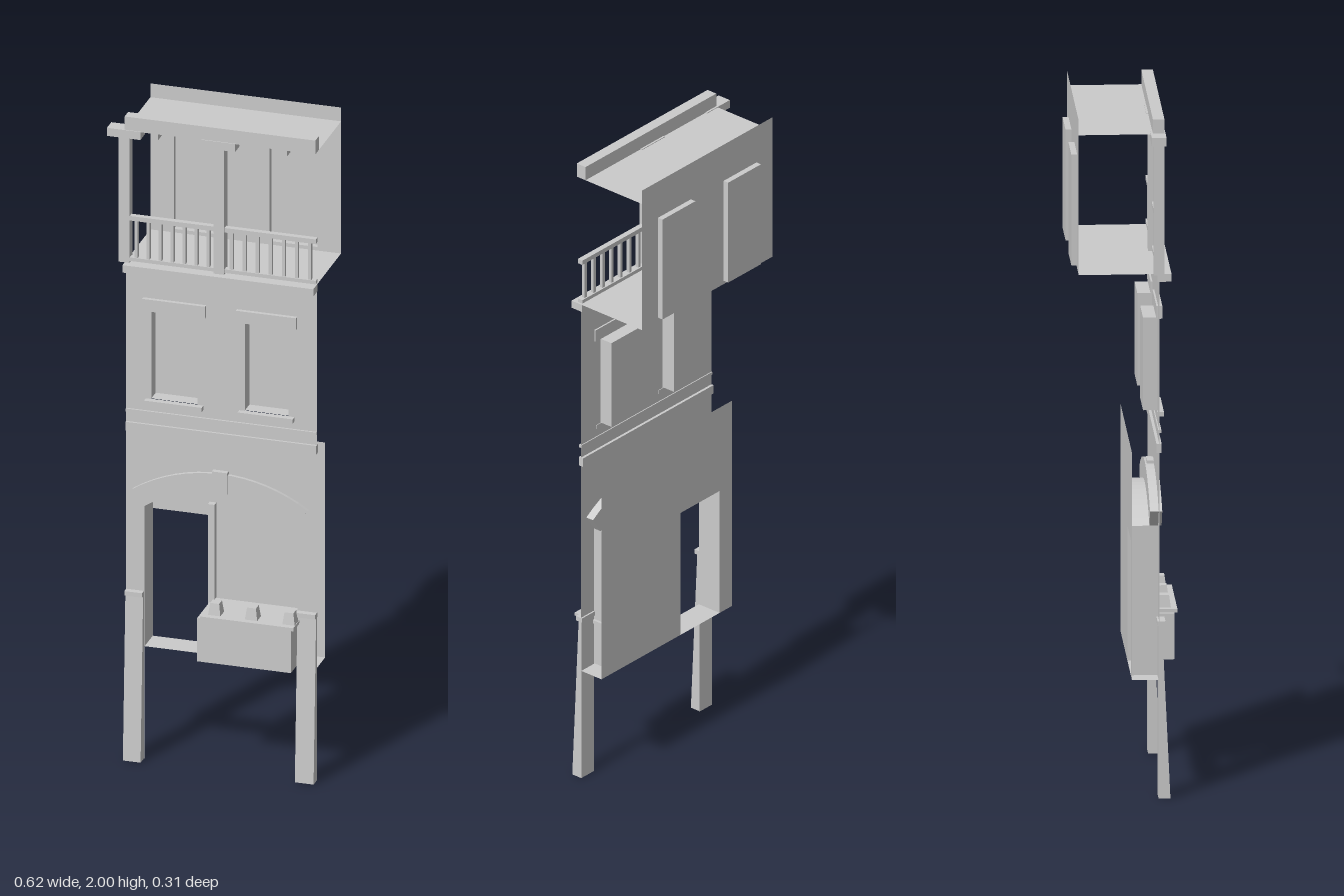
import * as THREE from 'three';

const mat = new THREE.MeshStandardMaterial({ color: 0xcccccc, flatShading: true, side: THREE.DoubleSide });
const X0 = -0.26, X1 = 0.31;          // wall ends
const FRONT = 0.09, SHOP = 0.012, BACK = -0.14; // wall planes in z

export function createModel() {
  const model = new THREE.Group();

  const add = (name, geometry) => {
    const mesh = new THREE.Mesh(geometry, mat);
    mesh.name = name;
    model.add(mesh);
    return mesh;
  };
  const boxGeo = (x0, x1, y0, y1, z0, z1) =>
    new THREE.BoxGeometry(x1 - x0, y1 - y0, z1 - z0)
      .translate((x0 + x1) / 2, (y0 + y1) / 2, (z0 + z1) / 2);
  const box = (name, ...b) => add(name, boxGeo(...b));
  // Box without its front face, for window niches
  const niche = (name, ...b) => {
    const g = boxGeo(...b);
    const idx = Array.from(g.index.array);
    idx.splice(24, 6);
    g.setIndex(idx);
    g.clearGroups();
    return add(name, g);
  };
  const poly = pts => pts.map(([x, y]) => new THREE.Vector2(x, y));
  const rect = (x0, x1, y0, y1) => poly([[x0, y0], [x1, y0], [x1, y1], [x0, y1]]);
  const wall = (name, outline, holes, z) => {
    const s = new THREE.Shape(outline);
    holes.forEach(h => s.holes.push(new THREE.Path(h)));
    return add(name, new THREE.ShapeGeometry(s).translate(0, 0, z));
  };
  const floor = (name, y, z0, z1) =>
    add(name, new THREE.PlaneGeometry(X1 - X0, z1 - z0).rotateX(-Math.PI / 2)
      .translate((X0 + X1) / 2, y, (z0 + z1) / 2));

  // Segmental arch over the shop opening
  const L = -0.205, R = 0.252, cx = (L + R) / 2, half = (R - L) / 2, spring = 0.79, rise = 0.07;
  const rad = (half * half + rise * rise) / (2 * rise), cy = spring + rise - rad;
  const sweep = Math.asin(half / rad), N = 16;
  const arc = r => Array.from({ length: N + 1 }, (_, i) => {
    const a = sweep * (2 * i / N - 1);
    return [cx + r * Math.sin(a), cy + r * Math.cos(a)];
  });

  // Front wall with legs, arched opening and two windows
  const windows = [[-0.185, -0.047], [0.095, 0.225]];
  wall('frontWall',
    poly([[X0, 0], [L, 0], ...arc(rad), [R, 0], [X1, 0], [X1, 1.53], [X0, 1.53]]),
    windows.map(([a, b]) => rect(a, b, 1.12, 1.4)), FRONT);

  // Jambs and soffit of the arched opening
  const path = [[L, 0.35], ...arc(rad), [R, 0.35]];
  const reveal = new THREE.PlaneGeometry(1, 1, path.length - 1, 1);
  path.forEach(([x, y], i) => {
    reveal.attributes.position.setXYZ(i, x, y, SHOP);
    reveal.attributes.position.setXYZ(i + path.length, x, y, FRONT);
  });
  add('archReveal', reveal);

  // Arch moulding and keystone
  const trim = new THREE.Shape(poly([...arc(rad), ...arc(rad + 0.06).reverse()]));
  add('archMoulding', new THREE.ExtrudeGeometry(trim, { depth: 0.035, bevelEnabled: false })
    .translate(0, 0, 0.065));
  box('keystone', cx - 0.023, cx + 0.023, 0.862, 0.928, 0.07, 0.105);

  // Shop back wall with doorway, door post and floor
  wall('shopWall', poly([[X0, 0.35], [L, 0.35], [L, 0.748], [-0.035, 0.748], [-0.035, 0.35],
    [X1, 0.35], [X1, 1.02], [X0, 1.02]]), [], SHOP);
  box('doorPost', -0.035, -0.015, 0.35, 0.79, SHOP, 0.03);
  floor('shopFloor', 0.35, SHOP, FRONT);

  // Counter with three tapered blocks
  box('counter', -0.03, 0.25, 0.35, 0.485, 0.016, 0.147);
  box('counterTop', -0.018, 0.26, 0.485, 0.495, 0.016, 0.156);
  for (const x of [0.018, 0.128, 0.24]) {
    const g = new THREE.CylinderGeometry(0.019, 0.026, 0.036, 4).rotateY(Math.PI / 4);
    add('counterBlock', g.translate(x, 0.513, 0.12));
  }

  // Wedge-shaped piers, deeper at the foot, with caps
  for (const [a, b] of [[X0, -0.207], [0.254, X1]]) {
    const side = new THREE.Shape(poly([[-0.122, 0], [-0.088, 0], [-0.088, 0.51], [-0.098, 0.51]]));
    add('pier', new THREE.ExtrudeGeometry(side, { depth: b - a, bevelEnabled: false })
      .rotateY(Math.PI / 2).translate(a, 0, 0));
    box('pierCap', a, b, 0.508, 0.522, 0.085, 0.108);
  }

  // Cornice bands
  box('cornice', X0, X1, 1.018, 1.045, 0.082, 0.097);
  box('corniceBead', X0, X1, 1.077, 1.086, 0.087, 0.096);

  // Middle-floor windows
  for (const [a, b] of windows) {
    niche('windowNiche', a, b, 1.125, 1.398, 0.048, FRONT);
    box('windowLintel', a - 0.024, b + 0.026, 1.4, 1.437, 0.085, 0.102);
    box('windowSill', a - 0.017, b + 0.018, 1.11, 1.123, 0.088, 0.107);
  }

  // Balcony floor, ledge, rear wall with door niches, ceiling
  floor('balconyFloor', 1.545, BACK, FRONT);
  box('balconyLedge', X0, X1, 1.522, 1.545, 0.085, 0.125);
  const doors = [[-0.19, -0.047], [0.096, 0.239]];
  wall('balconyWall', rect(X0, X1, 1.545, 2),
    doors.map(([a, b]) => rect(a, b, 1.556, 1.882)), BACK);
  for (const [a, b] of doors) niche('balconyDoor', a, b, 1.556, 1.882, -0.157, BACK);
  floor('ceiling', 1.957, BACK, 0.09);
  for (const x of [-0.17, 0.215]) box('joist', x - 0.008, x + 0.008, 1.936, 1.957, BACK, 0.1);
  box('topBeam', X0, X1, 1.957, 2, 0.072, 0.105);

  // Posts with capitals
  for (const x of [-0.262, 0.021]) {
    box('post', x - 0.016, x + 0.016, 1.545, 1.936, 0.074, 0.104);
    box('capital', x - 0.05, x + 0.05, 1.934, 1.959, 0.066, 0.108);
  }

  // Railings
  for (const [a, b] of [[-0.246, 0.005], [0.037, X1]]) {
    box('handrail', a, b, 1.676, 1.69, 0.084, 0.101);
    box('bottomRail', a, b, 1.55, 1.561, 0.084, 0.101);
    for (let i = 0; i < 7; i++) {
      const x = a + (b - a) * (i + 0.5) / 7;
      box('baluster', x - 0.005, x + 0.005, 1.56, 1.677, 0.088, 0.098);
    }
  }
  return model;
}
